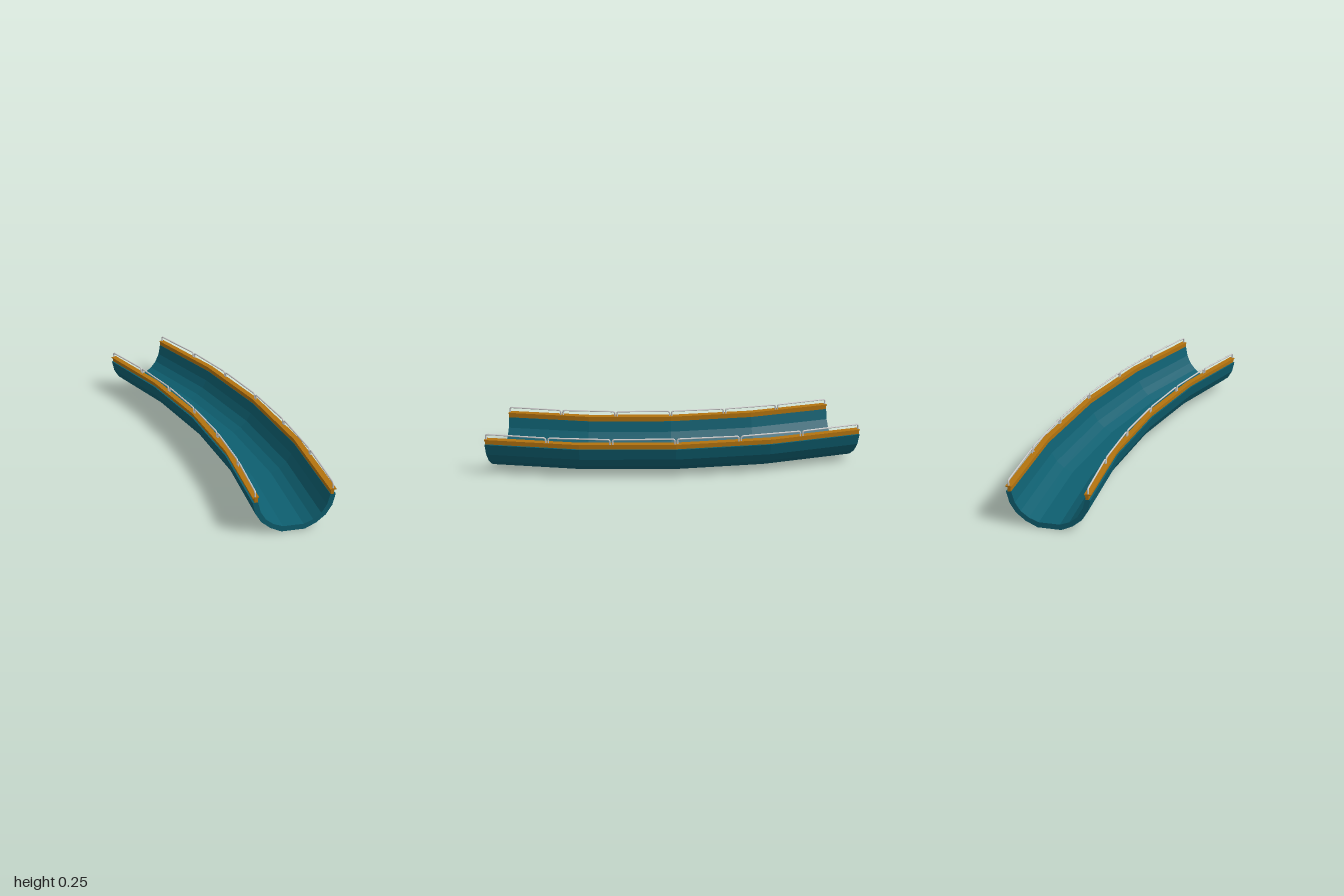
import * as THREE from 'three';
import { mergeGeometries } from 'three/addons/utils/BufferGeometryUtils.js';

const R = 3.79;              // bend radius of the centre line
const CX = -3.55;            // bend centre
const CZ = -1;
const ARC = Math.PI / 6;     // 30 degree bend
const STEPS = 4;             // straight facets along the bend
const RAILS = 6;             // handrail units per side

// point at a sideways offset, height and angle along the bend
const onBend = (offset, y, a) =>
  new THREE.Vector3(CX + (R + offset) * Math.cos(a), y, CZ + (R + offset) * Math.sin(a));

// extrude a cross-section and bend it round the arc
function sweep(profile) {
  const shape = new THREE.Shape(profile.map(([x, y]) => new THREE.Vector2(x, y)));
  const geo = new THREE.ExtrudeGeometry(shape, { depth: ARC, steps: STEPS, bevelEnabled: false });
  const p = geo.attributes.position;
  for (let i = 0; i < p.count; i++) {
    const v = onBend(p.getX(i), p.getY(i), p.getZ(i));
    p.setXYZ(i, v.x, v.y, v.z);
  }
  geo.computeVertexNormals();
  return geo;
}

// one inverted-U handrail with rounded corners between two angles
function handrail(offset, a0, a1) {
  const bottom = 0.214, top = 0.245, r = 0.012;
  const p0 = onBend(offset, bottom, a0), p1 = onBend(offset, bottom, a1);
  const dir = p1.clone().sub(p0).normalize();
  const at = (base, along, y) => base.clone().addScaledVector(dir, along).setY(y);
  const a = at(p0, 0, top - r), b = at(p0, r, top);
  const c = at(p1, -r, top), d = at(p1, 0, top - r);
  const parts = [
    [new THREE.LineCurve3(p0, a), 1],
    [new THREE.QuadraticBezierCurve3(a, at(p0, 0, top), b), 4],
    [new THREE.LineCurve3(b, c), 1],
    [new THREE.QuadraticBezierCurve3(c, at(p1, 0, top), d), 4],
    [new THREE.LineCurve3(d, p1), 1],
  ];
  return mergeGeometries(parts.map(([curve, n]) => new THREE.TubeGeometry(curve, n, 0.0045, 8)));
}

export function createModel() {
  const model = new THREE.Group();
  const teal = new THREE.MeshStandardMaterial({ color: 0x0e5f70, flatShading: true });
  const orange = new THREE.MeshStandardMaterial({ color: 0xb3730f, flatShading: true });
  const grey = new THREE.MeshStandardMaterial({ color: 0xcccccc });
  const add = (name, geo, mat) => {
    const mesh = new THREE.Mesh(geo, mat);
    mesh.name = name;
    model.add(mesh);
  };
  const mirror = (pts) => pts.map(([x, y]) => [-x, y]).reverse();

  // half-pipe trough
  const outer = [[0.06, 0], [0.118, 0.029], [0.165, 0.07], [0.196, 0.123], [0.21, 0.187]];
  const inner = [[0.183, 0.187], [0.169, 0.128], [0.142, 0.083], [0.102, 0.05], [0.053, 0.03]];
  const half = [...outer, ...inner];
  add('trough', sweep([...half, ...mirror(half)]), teal);

  // edge beams with an overhanging cap, and the handrails above them
  const beam = [[0.185, 0.187], [0.201, 0.187], [0.201, 0.211], [0.211, 0.211],
    [0.211, 0.217], [0.179, 0.217], [0.179, 0.211], [0.185, 0.211]];
  for (const [side, s] of [['left', 1], ['right', -1]]) {
    add(side + 'EdgeBeam', sweep(s > 0 ? beam : mirror(beam)), orange);
    const gap = 0.0018, unit = ARC / RAILS, units = [];
    for (let i = 0; i < RAILS; i++) {
      units.push(handrail(s * 0.197, i * unit + gap, (i + 1) * unit - gap));
    }
    add(side + 'Handrails', mergeGeometries(units), grey);
  }
  return model;
}
